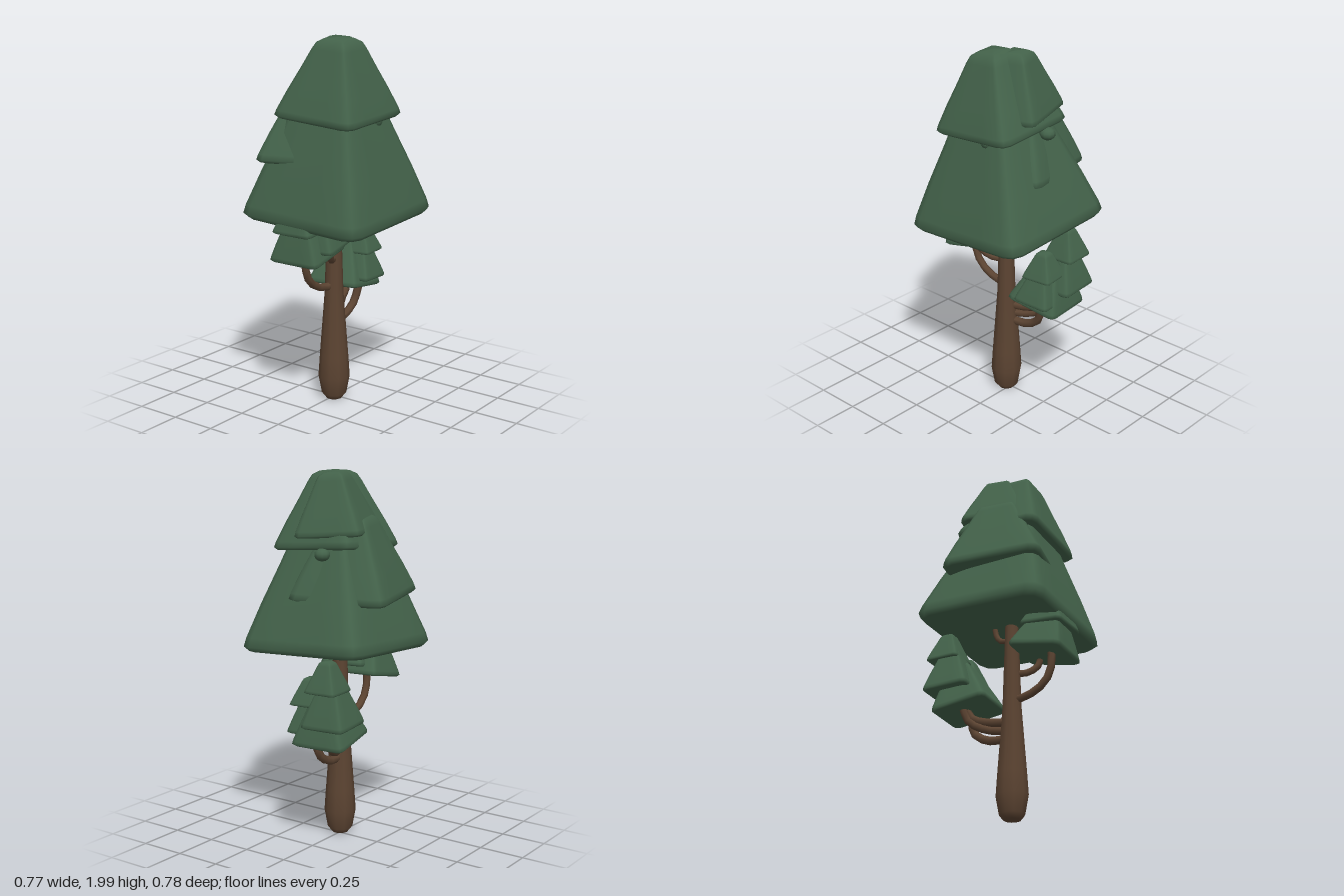
import * as THREE from 'three';

const needles = new THREE.MeshStandardMaterial({ color: 0x456549 });
needles.name = 'needle green';
const bark = new THREE.MeshStandardMaterial({ color: 0x5c4432 });
bark.name = 'bark brown';
needles.color.set(0x43624a);

// Soft-cornered square outline, half width 1
const CORNER = [[1, -0.4], [1, 0.4], [1, 0.8], [0.94, 0.94], [0.8, 1]];
const OUTLINE = [];
for (let q = 0; q < 4; q++) {
  for (const [a, b] of CORNER) {
    const s = Math.round(Math.sin(q * Math.PI / 2)), c = Math.round(Math.cos(q * Math.PI / 2));
    OUTLINE.push([a * c - b * s, a * s + b * c]);
  }
}
// Width and height fractions, from the underside to the blunt top
const PROFILE = [[0.001, 0.05], [0.6, 0.03], [0.94, 0], [1, 0.035], [0.97, 0.1], [0.8, 0.35],
  [0.6, 0.62], [0.43, 0.86], [0.36, 0.94], [0.24, 0.985], [0.001, 1]];

function pyramidGeometry(half, height) {
  const pos = [], idx = [], n = OUTLINE.length;
  for (const [w, h] of PROFILE) {
    for (const [x, z] of OUTLINE) pos.push(x * w * half, h * height, z * w * half);
  }
  for (let r = 0; r < PROFILE.length - 1; r++) {
    for (let i = 0; i < n; i++) {
      const a = r * n + i, b = r * n + (i + 1) % n;
      idx.push(a, a + n, b, b, a + n, b + n);
    }
  }
  const g = new THREE.BufferGeometry();
  g.setAttribute('position', new THREE.Float32BufferAttribute(pos, 3));
  g.setIndex(idx);
  g.computeVertexNormals();
  return g;
}

// One foliage tier, standing on the centre of its base
function tier(name, [x, y, z], half, height, yaw = 0, tiltX = 0, tiltZ = 0) {
  const m = new THREE.Mesh(pyramidGeometry(half, height), needles);
  m.name = name;
  m.rotation.order = 'ZXY';
  m.rotation.set(tiltX, yaw, tiltZ);
  m.position.set(x, y, z);
  return m;
}

function branch(points, radius) {
  const curve = new THREE.CatmullRomCurve3(points.map(p => new THREE.Vector3(...p)));
  const m = new THREE.Mesh(new THREE.TubeGeometry(curve, 7, radius, 7), bark);
  m.name = 'branch';
  return m;
}

function group(name, parts) {
  const g = new THREE.Group();
  g.name = name;
  g.add(...parts);
  return g;
}

export function createModel() {
  const model = new THREE.Group();
  model.name = 'pineTree';

  // Trunk with a tucked-in foot
  const profile = [[0.001, 0.01], [0.045, 0.012], [0.068, 0.04], [0.086, 0.14], [0.078, 0.26],
    [0.051, 0.62], [0.036, 1.1], [0.03, 1.3]].map(p => new THREE.Vector2(...p));
  const trunk = new THREE.Mesh(new THREE.LatheGeometry(profile, 10), bark);
  trunk.name = 'trunk';
  trunk.position.set(-0.02, 0, 0.01);
  model.add(trunk);

  // Branches reaching into the foliage
  model.add(group('branches', [
    branch([[-0.02, 0.66, 0.01], [-0.12, 0.665, 0], [-0.22, 0.72, 0], [-0.26, 0.8, 0], [-0.26, 0.92, 0]], 0.021),
    branch([[-0.02, 0.81, 0.01], [-0.1, 0.82, 0.05], [-0.15, 0.87, 0.08], [-0.15, 0.97, 0.07]], 0.019),
    branch([[0, 0.45, 0], [0.1, 0.45, -0.01], [0.19, 0.5, -0.01], [0.23, 0.64, 0.01]], 0.023),
    branch([[0, 0.49, 0], [0.1, 0.5, -0.04], [0.19, 0.55, -0.08], [0.22, 0.64, -0.1]], 0.021),
    branch([[0, 0.54, 0], [0.1, 0.545, -0.03], [0.18, 0.57, -0.06], [0.22, 0.64, -0.07]], 0.023),
    branch([[-0.01, 1.01, 0.01], [0.04, 1.01, 0], [0.07, 1.05, 0], [0.08, 1.13, 0]], 0.015),
    branch([[-0.02, 1.02, 0.02], [-0.04, 1.01, 0.08], [-0.05, 1.04, 0.12], [-0.05, 1.13, 0.13]], 0.015),
  ]));

  // Main crown
  model.add(group('crown', [
    tier('lowerTier', [0, 1.05, 0.015], 0.377, 0.74, 0, 0.05, 0.05),
    tier('backTier', [-0.02, 1.34, -0.075], 0.272, 0.44, 0.22, -0.02, -0.04),
    tier('topTier', [-0.028, 1.583, 0.04], 0.25, 0.415, 0, 0.07, 0.06),
    tier('sideTopTier', [0.035, 1.67, -0.018], 0.185, 0.325, 0.25, 0.06, -0.04),
  ]));

  // Small tufts tucked under the top tier
  const tufts = [[0.05, 1.565, 0.22], [0.215, 1.58, -0.045], [-0.07, 1.585, -0.19]].map(p => {
    const m = new THREE.Mesh(new THREE.SphereGeometry(0.042, 10, 7), needles);
    m.name = 'tuft';
    m.position.set(...p);
    m.scale.y = 0.8;
    return m;
  });
  model.add(group('tufts', tufts));

  // Side clump on the +x branches: one tall and one short stack
  model.add(group('leftClump', [
    tier('clumpBase', [0.19, 0.605, -0.075], 0.155, 0.27, 0.1, -0.03, -0.16),
    tier('clumpMiddle', [0.25, 0.7, -0.135], 0.127, 0.25, 0.08, 0, -0.04),
    tier('clumpTop', [0.287, 0.885, -0.13], 0.092, 0.165, 0.05),
    tier('shortLower', [0.225, 0.65, 0.005], 0.108, 0.2, 0.08, 0, -0.06),
    tier('shortUpper', [0.245, 0.795, 0.005], 0.088, 0.145, 0.1),
  ]));

  // Side clump on the -x branches
  model.add(group('rightClump', [
    tier('clumpBase', [-0.225, 0.87, -0.01], 0.15, 0.27, 0.05, 0.03, 0.2),
    tier('clumpTop', [-0.26, 1.01, -0.01], 0.122, 0.2, 0, 0, 0.1),
    tier('frontClump', [-0.175, 0.925, 0.045], 0.13, 0.22, 0.1, 0.05, 0.16),
  ]));

  return model;
}
